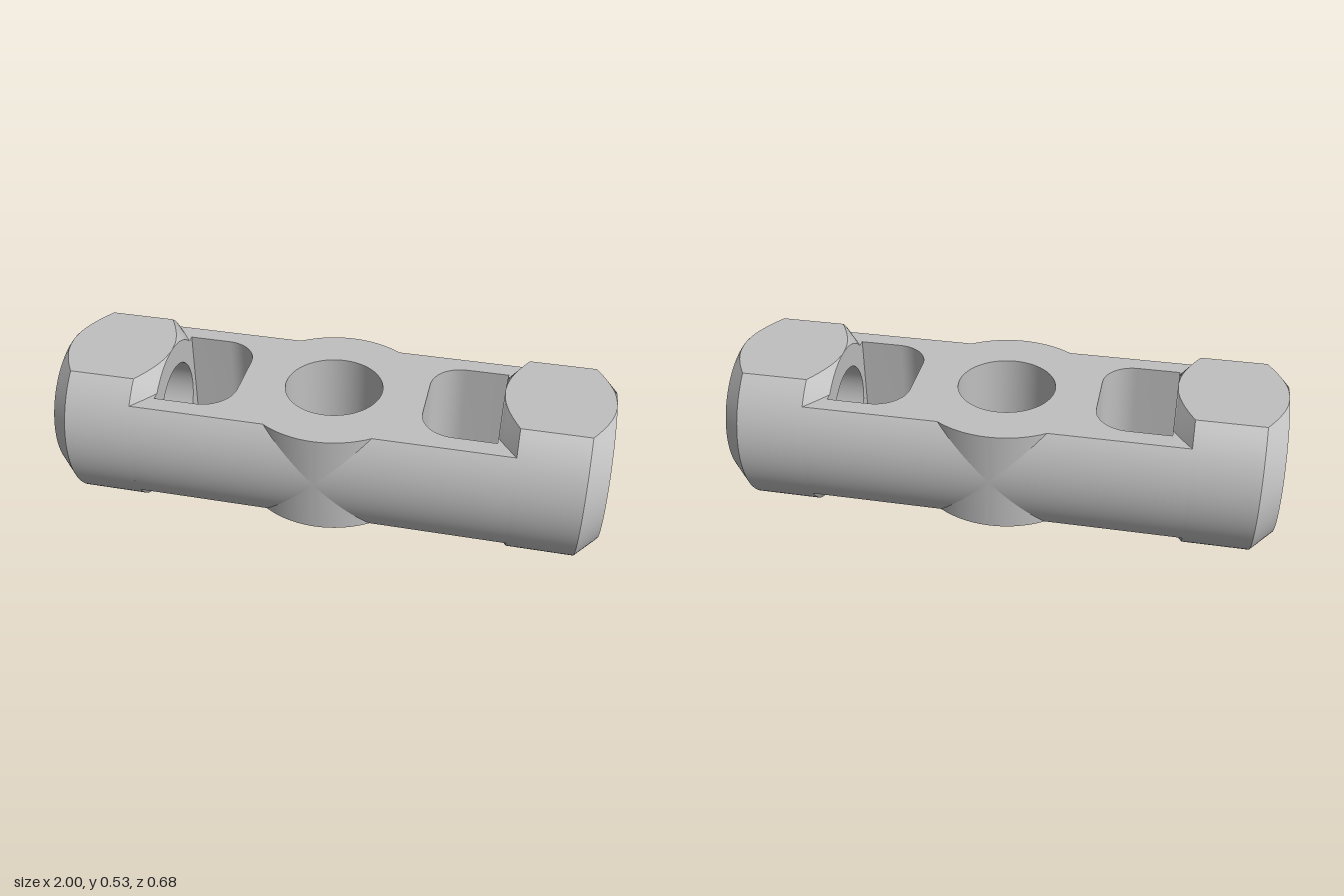
import * as THREE from 'three';
import { toCreasedNormals } from 'three/addons/utils/BufferGeometryUtils.js';
import { ParametricGeometry } from 'three/addons/geometries/ParametricGeometry.js';

const R = 0.338;      // outer radius of the bar
const FLAT = 0.265;   // half height of the end collars
const SLAB = 0.1925;  // half height of the milled middle
const BORE = 0.178;   // radius of all drilled holes
const { lerp } = THREE.MathUtils;

// Curved wall around the x axis, limited to |y| <= h; side is +1 or -1 in z
function sideWall(x0, r0, x1, r1, h, side) {
  const g = new ParametricGeometry((u, v, p) => {
    const t = side > 0 ? 1 - u : u;
    const r = lerp(r0, r1, t);
    const cut = Math.acos(Math.min(1, h / r));
    const a = lerp(cut, Math.PI - cut, v);
    p.set(lerp(x0, x1, t), r * Math.cos(a), side * r * Math.sin(a));
  }, 10, 40);
  g.computeVertexNormals();
  return g;
}

// Flat milled on the collar at y = side * h
function flatFace(x0, r0, x1, r1, h, side) {
  const g = new ParametricGeometry((u, v, p) => {
    const t = side > 0 ? 1 - u : u;
    const r = lerp(r0, r1, t);
    const w = Math.sqrt(Math.max(0, r * r - h * h));
    p.set(lerp(x0, x1, t), side * h, lerp(-w, w, v));
  }, 16, 1);
  g.computeVertexNormals();
  return g;
}

// Outline of the middle slab: one quarter, reflected four ways
function slabShape() {
  const q = [];
  const zEdge = Math.sqrt(R * R - SLAB * SLAB);
  const end = Math.asin(zEdge / R);
  for (let i = 0; i <= 12; i++) {
    const a = lerp(Math.PI / 2 - 0.02, end, i / 12);
    q.push([R * Math.cos(a), R * Math.sin(a)]);
  }
  q.push([0.685, zEdge], [0.685, 0.182], [0.615, 0.182], [0.615, 0.212]);
  for (let i = 0; i <= 12; i++) {
    const a = Math.PI / 2 * (1 + i / 12);
    q.push([0.46 + 0.12 * Math.cos(a), 0.092 + 0.12 * Math.sin(a)]);
  }
  const back = [...q].reverse();
  const flip = (list, sx, sy) => list.map(([x, y]) => new THREE.Vector2(x * sx, y * sy));
  const shape = new THREE.Shape([
    ...flip(q, 1, 1), ...flip(back, 1, -1), ...flip(q, -1, -1), ...flip(back, -1, 1),
  ]);
  shape.holes.push(new THREE.Path().absarc(0, 0, BORE, 0, Math.PI * 2, true));
  return shape;
}

export function createModel() {
  const model = new THREE.Group();
  model.name = 'crossBoredBar';
  const metal = new THREE.MeshStandardMaterial({ color: 0xc0c0c0, side: THREE.DoubleSide });
  metal.name = 'light grey metal';

  const add = (parent, name, geometry) => {
    const mesh = new THREE.Mesh(geometry, metal);
    mesh.name = name;
    parent.add(mesh);
    return mesh;
  };

  const body = new THREE.Group();
  body.name = 'body';
  body.position.y = FLAT;
  model.add(body);

  // Middle slab with round cross hole, bulging hub and open windows
  const slab = new THREE.ExtrudeGeometry(slabShape(), {
    depth: SLAB * 2, bevelEnabled: false, curveSegments: 48,
  });
  slab.translate(0, 0, -SLAB);
  slab.rotateX(-Math.PI / 2);
  add(body, 'middleSlab', toCreasedNormals(slab, 0.4));

  // Rounded front and back of the middle
  for (const side of [1, -1]) {
    add(body, side > 0 ? 'frontRoundedSide' : 'backRoundedSide',
      sideWall(-0.685, R, 0.685, R, SLAB, side));
  }

  // End collars: chamfer, barrel, chamfer, with flats above and below
  const sections = [
    ['innerChamfer', 0.615, FLAT, 0.685, R],
    ['barrel', 0.685, R, 0.925, R],
    ['outerChamfer', 0.925, R, 1, FLAT],
  ];
  for (const end of ['left', 'right']) {
    const collar = new THREE.Group();
    collar.name = end + 'Collar';
    if (end === 'right') collar.rotation.y = Math.PI;
    body.add(collar);

    for (const [name, ...s] of sections) {
      for (const side of [1, -1]) {
        add(collar, name, sideWall(...s, FLAT, side));
        add(collar, name + 'Flat', flatFace(...s, FLAT, side));
      }
    }

    // Annular faces and the bore between them
    const ring = (dir) => new THREE.RingGeometry(BORE, FLAT, 80).rotateY(dir * Math.PI / 2);
    add(collar, 'endFace', ring(1)).position.x = 1;
    add(collar, 'innerFace', ring(-1)).position.x = 0.615;
    const bore = new THREE.CylinderGeometry(BORE, BORE, 0.385, 80, 1, true).rotateZ(Math.PI / 2);
    add(collar, 'bore', bore).position.x = 0.8075;
  }
  return model;
}
